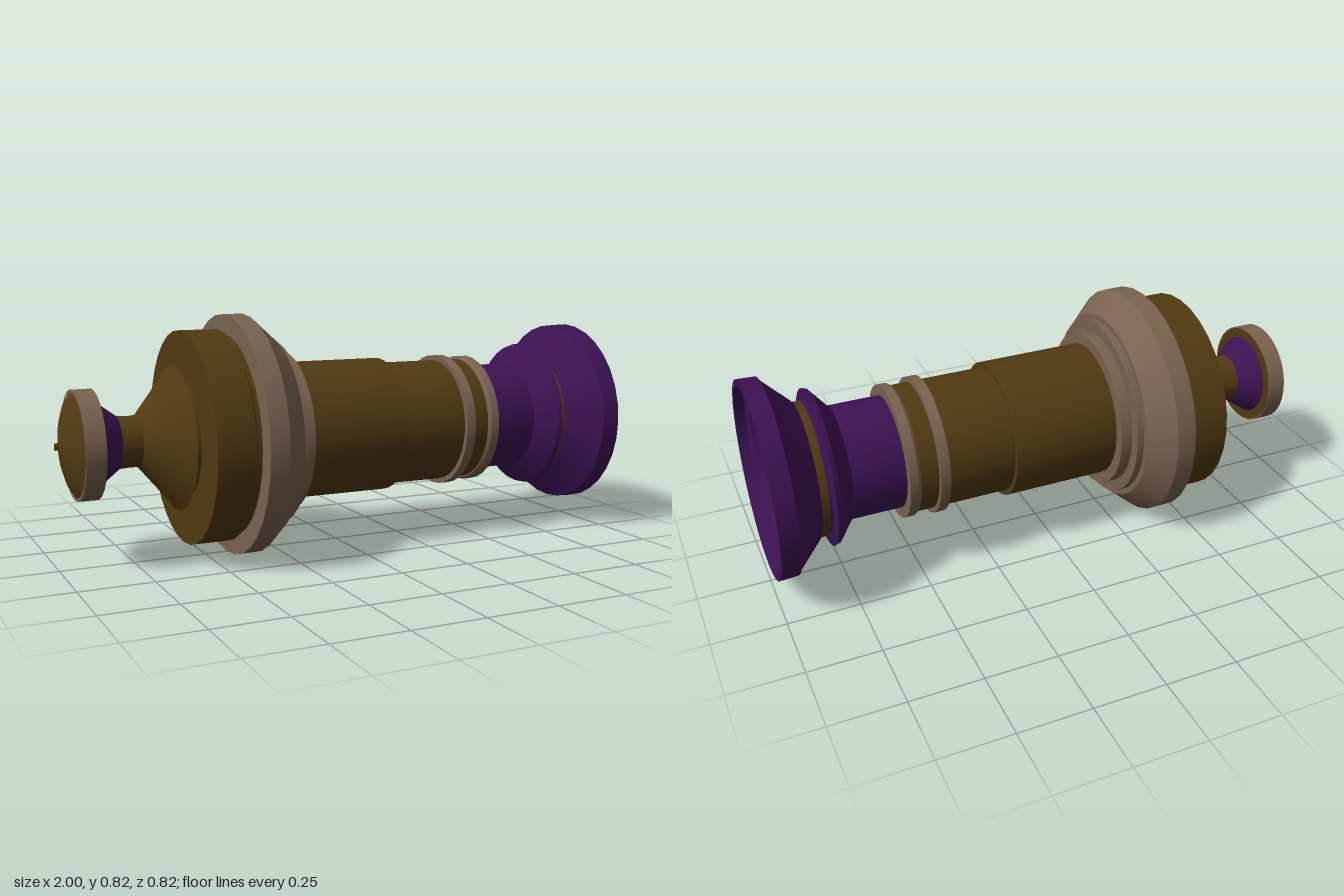
import * as THREE from 'three';
import { toCreasedNormals } from 'three/addons/utils/BufferGeometryUtils.js';

const AXIS_Y = 0.414;
const gold = new THREE.MeshStandardMaterial({ color: 0x523a12 });
const tan = new THREE.MeshStandardMaterial({ color: 0x7a6250 });
const purple = new THREE.MeshStandardMaterial({ color: 0x3d1254 });

export function createModel() {
  const group = new THREE.Group();

  // Turned part around the x axis; profile is [x, radius] pairs
  function turned(name, material, profile) {
    const points = profile.map(([x, r]) => new THREE.Vector2(r, x));
    const geometry = new THREE.LatheGeometry(points, 32).rotateZ(-Math.PI / 2);
    const mesh = new THREE.Mesh(toCreasedNormals(geometry, 0.45), material);
    mesh.name = name;
    mesh.position.y = AXIS_Y;
    group.add(mesh);
  }

  // Capped cylinder between two x positions
  const band = (name, material, x0, x1, r0, r1 = r0) =>
    turned(name, material, [[x0, 0], [x0, r0], [x1, r1], [x1, 0]]);

  // Pommel knob and neck
  band('knobTip', gold, -1, -0.975, 0.012);
  turned('knobDome', gold, [[-0.99, 0], [-0.985, 0.03], [-0.97, 0.1], [-0.955, 0.145],
    [-0.935, 0.178], [-0.873, 0.178], [-0.873, 0]]);
  turned('knobRim', tan, [[-0.94, 0.172], [-0.94, 0.182], [-0.875, 0.182], [-0.875, 0.172]]);
  band('knobCollar', purple, -0.874, -0.8, 0.145, 0.09);
  turned('neck', gold, [[-0.8, 0], [-0.8, 0.088], [-0.755, 0.085], [-0.73, 0.087],
    [-0.605, 0.235], [-0.6, 0.245], [-0.595, 0.2], [-0.57, 0.2]]);

  // Large rear drum
  turned('drum', gold, [[-0.595, 0], [-0.595, 0.205], [-0.575, 0.205], [-0.575, 0.362],
    [-0.445, 0.362], [-0.435, 0.345], [-0.41, 0.345], [-0.41, 0]]);

  // Wide flange with stepped front
  turned('flange', tan, [[-0.42, 0], [-0.42, 0.412], [-0.352, 0.412], [-0.27, 0.34],
    [-0.27, 0.32], [-0.245, 0.32], [-0.245, 0.28], [-0.205, 0.28], [-0.205, 0]]);

  // Barrel and its bands
  band('barrel', gold, -0.21, 0.17, 0.24);
  band('frontBarrel', gold, 0.165, 0.51, 0.222);
  band('barrelBand', tan, 0.407, 0.442, 0.24);
  turned('endBand', tan, [[0.505, 0], [0.505, 0.226], [0.515, 0.233], [0.545, 0.233], [0.545, 0]]);

  // Purple sleeve flaring into a collar, closed by a shallow recessed floor
  turned('sleeve', purple, [[0.54, 0], [0.54, 0.196], [0.725, 0.196], [0.782, 0.265],
    [0.798, 0.27], [0.805, 0.225], [0.82, 0.225], [0.82, 0.18], [0.81, 0.18], [0.81, 0]]);

  // Gold ring between collar and bell
  turned('bellRing', gold, [[0.845, 0.206], [0.812, 0.206], [0.812, 0.231],
    [0.845, 0.231], [0.845, 0.206]]);

  // Hollow bell mouth
  turned('bell', purple, [[0.84, 0.21], [0.84, 0.235], [0.93, 0.325], [0.935, 0.336],
    [1, 0.339], [1, 0.318], [0.965, 0.312], [0.955, 0.28], [0.84, 0.21]]);

  return group;
}
